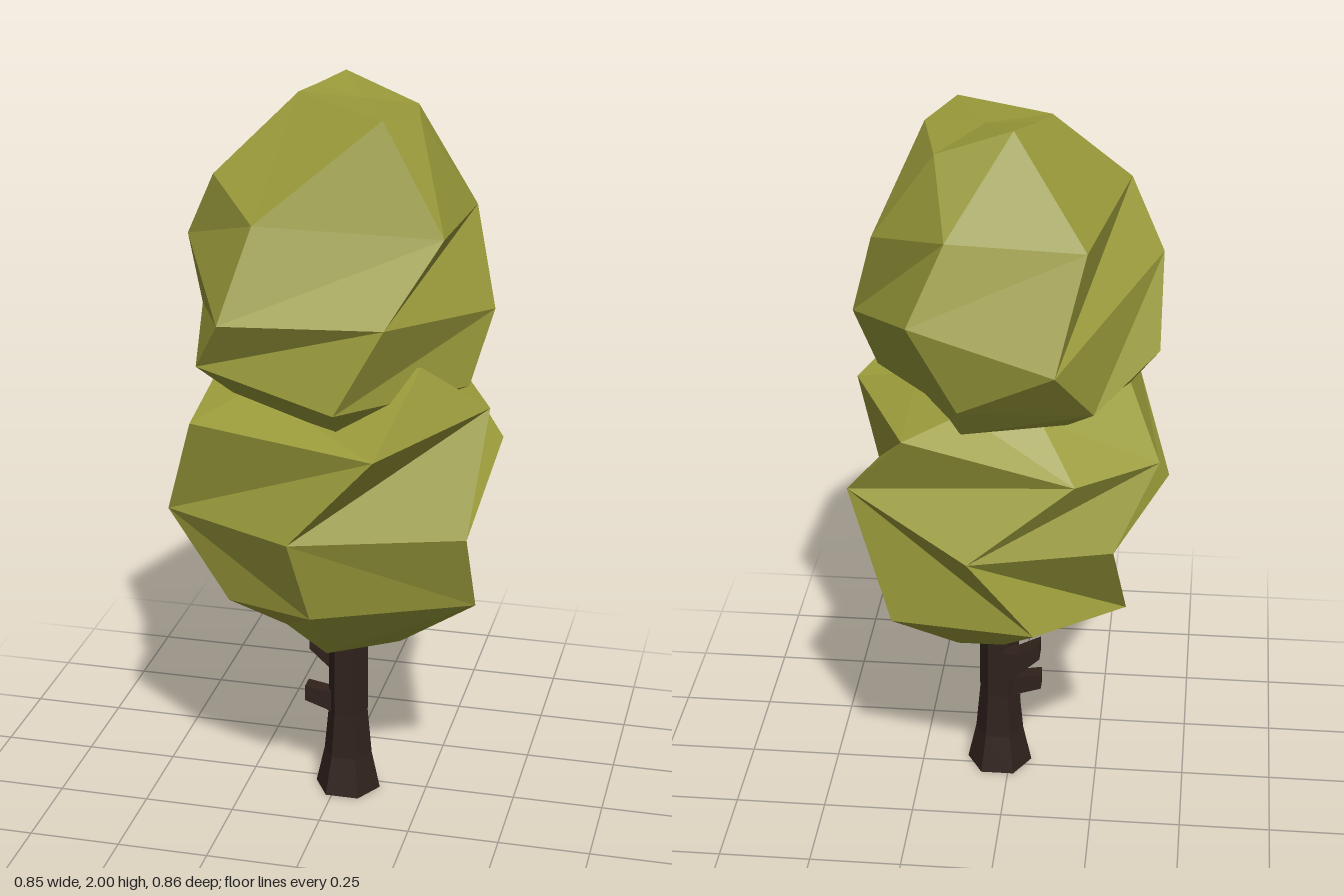
import * as THREE from 'three';

const leafMat = new THREE.MeshStandardMaterial({ color: 0x999a3a, flatShading: true });
const barkMat = new THREE.MeshStandardMaterial({ color: 0x30221d, flatShading: true });

// Faceted lump: rings of equal length from bottom to top, each running front, +x, back, -x.
// Bands listed in flipped have their quads split along the other diagonal.
function ringLump(name, rings, flipped) {
  const pos = [];
  const tri = (...corners) => corners.forEach((c) => pos.push(...c));
  const middle = (ring) => [0, 1, 2].map((k) => ring.reduce((sum, p) => sum + p[k], 0) / ring.length);
  const n = rings[0].length, last = rings.length - 1;
  for (let i = 0; i < n; i++) {
    const j = (i + 1) % n;
    for (let r = 0; r < last; r++) {
      const a = rings[r][i], b = rings[r][j], c = rings[r + 1][j], d = rings[r + 1][i];
      if (flipped.includes(r)) {
        tri(a, b, d);
        tri(b, c, d);
      } else {
        tri(a, b, c);
        tri(a, c, d);
      }
    }
    tri(middle(rings[0]), rings[0][j], rings[0][i]);
    tri(middle(rings[last]), rings[last][i], rings[last][j]);
  }
  const geometry = new THREE.BufferGeometry();
  geometry.setAttribute('position', new THREE.Float32BufferAttribute(pos, 3));
  geometry.computeVertexNormals();
  const mesh = new THREE.Mesh(geometry, leafMat);
  mesh.name = name;
  return mesh;
}

// Chunky branch stump: side outline with a depth along z
function stump(name, outline, z, depth) {
  const shape = new THREE.Shape(outline.map(([x, y]) => new THREE.Vector2(x, y)));
  const mesh = new THREE.Mesh(new THREE.ExtrudeGeometry(shape, { depth, bevelEnabled: false }), barkMat);
  mesh.position.z = z;
  mesh.name = name;
  return mesh;
}

export function createModel() {
  const tree = new THREE.Group();
  tree.name = 'tree';

  // Flared six-sided trunk
  const profile = [[0, 0], [0.092, 0], [0.068, 0.11], [0.056, 0.24], [0.055, 0.6], [0, 0.6]];
  const trunk = new THREE.Mesh(
    new THREE.LatheGeometry(profile.map(([r, y]) => new THREE.Vector2(r, y)), 6, Math.PI / 6), barkMat);
  trunk.position.set(0.03, 0, 0.03);
  trunk.name = 'trunk';
  tree.add(trunk);

  // Broken branches
  tree.add(stump('lowerBranch',
    [[0.01, 0.22], [0.01, 0.3], [-0.03, 0.295], [-0.09, 0.305], [-0.09, 0.26], [-0.03, 0.24]], 0.005, 0.045));
  tree.add(stump('upperBranch',
    [[0.01, 0.3], [0.01, 0.405], [-0.03, 0.41], [-0.09, 0.44], [-0.09, 0.395], [-0.03, 0.34]], -0.053, 0.05));

  // Lower foliage, with a pointed tuft in its top ring
  tree.add(ringLump('lowerFoliage', [
    [[-0.14, 0.49, 0.05], [0, 0.47, 0.16], [0.17, 0.45, 0], [0.13, 0.48, -0.12], [0, 0.5, -0.15], [-0.13, 0.5, -0.06]],
    [[-0.25, 0.64, 0.24], [0, 0.66, 0.35], [0.4, 0.64, 0.12], [0.29, 0.64, -0.28], [-0.1, 0.68, -0.39], [-0.33, 0.61, -0.1]],
    [[-0.43, 0.87, 0.19], [-0.04, 0.9, 0.43], [0.39, 0.87, 0.22], [0.41, 1, -0.21], [0.07, 0.91, -0.43], [-0.3, 0.88, -0.28]],
    [[-0.34, 1.15, 0.27], [0.18, 1.14, 0.41], [0.42, 1.19, 0.08], [0.25, 1.19, -0.3], [-0.2, 1.1, -0.34], [-0.41, 1.09, -0.16]],
    [[-0.2, 1.22, 0.15], [0.26, 1.33, 0.2], [0.25, 1.23, 0.03], [0.1, 1.23, -0.2], [-0.1, 1.22, -0.2], [-0.32, 1.24, 0.02]],
  ], [1, 3]));

  // Upper foliage
  tree.add(ringLump('upperFoliage', [
    [[-0.24, 1.22, 0.2], [0.06, 1.17, 0.3], [0.25, 1.2, 0], [0.1, 1.2, -0.26], [-0.17, 1.21, -0.2], [-0.32, 1.24, 0]],
    [[-0.31, 1.32, 0.3], [0.08, 1.26, 0.42], [0.36, 1.24, 0.06], [0.1, 1.3, -0.34], [-0.24, 1.26, -0.24], [-0.4, 1.37, -0.07]],
    [[-0.23, 1.46, 0.38], [0.2, 1.48, 0.38], [0.41, 1.43, -0.02], [0.22, 1.55, -0.39], [-0.15, 1.43, -0.39], [-0.4, 1.6, 0.05]],
    [[-0.16, 1.7, 0.29], [0.32, 1.68, 0.23], [0.34, 1.68, -0.12], [0.13, 1.75, -0.32], [-0.22, 1.72, -0.28], [-0.31, 1.78, 0.11]],
    [[-0.11, 1.98, 0], [0.15, 1.96, 0.18], [0.22, 1.935, 0.05], [0.17, 1.925, -0.17], [-0.03, 2, -0.19], [-0.08, 1.985, -0.08]],
  ], []));

  return tree;
}
